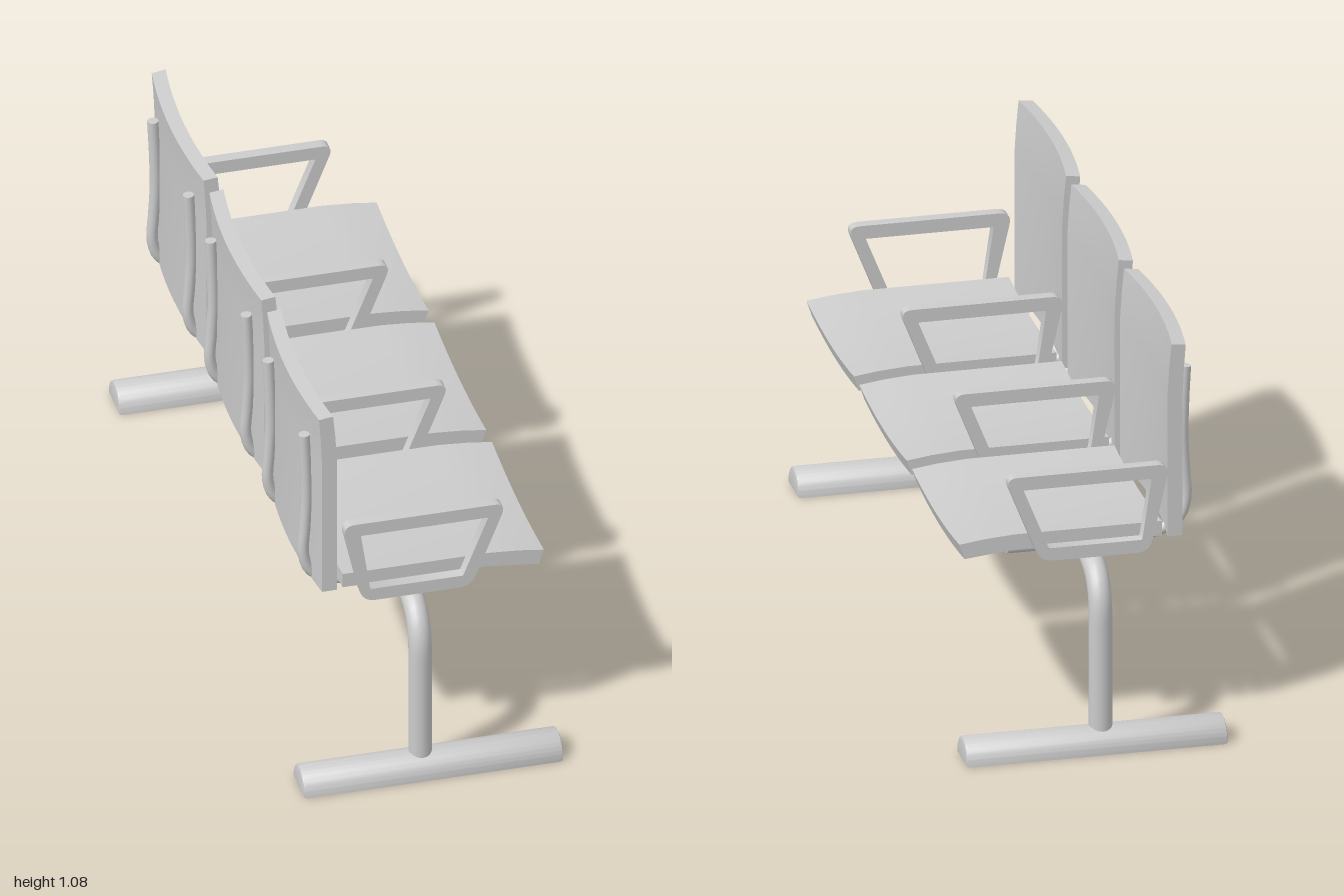
import * as THREE from 'three';
import { toCreasedNormals } from 'three/addons/utils/BufferGeometryUtils.js';

const material = new THREE.MeshStandardMaterial({ color: 0xcccccc });
const WIDTH = 0.53, PITCH = 0.589;

function add(parent, name, geometry) {
  const mesh = new THREE.Mesh(geometry, material);
  mesh.name = name;
  parent.add(mesh);
  return mesh;
}

const outline = (pts) => pts.map(([x, y]) => new THREE.Vector2(x, y));

// Side profile swept across z, then bowed in the middle by (dx, dy)
function bowedSlab(pts, dx, dy) {
  const geo = new THREE.ExtrudeGeometry(new THREE.Shape(outline(pts)), {
    depth: WIDTH, steps: 12, bevelEnabled: false,
  });
  geo.translate(0, 0, -WIDTH / 2);
  const p = geo.attributes.position;
  for (let i = 0; i < p.count; i++) {
    const t = (2 * p.getZ(i)) / WIDTH, bow = 1 - t * t;
    p.setX(i, p.getX(i) + dx * bow);
    p.setY(i, p.getY(i) + dy * bow);
  }
  return toCreasedNormals(geo, 0.5);
}

// Closed outline with rounded corners
function roundedPath(target, pts, r) {
  const v = outline(pts), n = v.length;
  v.forEach((c, i) => {
    const a = v[(i + n - 1) % n].clone().sub(c).setLength(r).add(c);
    const b = v[(i + 1) % n].clone().sub(c).setLength(r).add(c);
    if (i === 0) target.moveTo(a.x, a.y);
    else target.lineTo(a.x, a.y);
    target.quadraticCurveTo(c.x, c.y, b.x, b.y);
  });
  target.closePath();
  return target;
}

// Capped round bar along a curve
function bar(parent, name, curve, segments, radius) {
  const g = new THREE.Group();
  g.name = name;
  parent.add(g);
  add(g, name + 'Tube', new THREE.TubeGeometry(curve, segments, radius, 14, false));
  for (const [u, s] of [[0, -1], [1, 1]]) {
    const cap = add(g, name + 'Cap', new THREE.CircleGeometry(radius, 14));
    cap.position.copy(curve.getPointAt(u));
    cap.quaternion.setFromUnitVectors(
      new THREE.Vector3(0, 0, 1), curve.getTangentAt(u).multiplyScalar(s));
  }
}

export function createModel() {
  const model = new THREE.Group();
  model.name = 'benchSeating';

  const seatGeo = bowedSlab([
    [-0.208, 0.545], [0.18, 0.545], [0.322, 0.529], [0.336, 0.571],
    [0.27, 0.58], [0.19, 0.586], [-0.208, 0.586],
  ], 0, -0.016);
  const backGeo = bowedSlab([
    [-0.264, 0.54], [-0.223, 0.54], [-0.223, 0.94], [-0.228, 1.02],
    [-0.234, 1.083], [-0.272, 1.078], [-0.267, 1.01], [-0.264, 0.94],
  ], -0.02, 0);

  // Bent rod under the seat and up the back
  const rod = new THREE.CatmullRomCurve3([
    [0.19, 0.515], [0, 0.515], [-0.16, 0.517], [-0.23, 0.53], [-0.275, 0.56],
    [-0.292, 0.61], [-0.288, 0.7], [-0.284, 0.78], [-0.286, 0.88], [-0.291, 0.985],
  ].map(([x, y]) => new THREE.Vector3(x, y, 0)));

  for (const i of [-1, 0, 1]) {
    const chair = new THREE.Group();
    chair.name = 'chair';
    chair.position.z = i * PITCH;
    model.add(chair);
    add(chair, 'seat', seatGeo);
    add(chair, 'backrest', backGeo);
    for (const s of [-1, 1]) {
      const support = new THREE.Group();
      support.name = 'support';
      support.position.z = s * 0.182;
      chair.add(support);
      bar(support, 'supportRod', rod, 48, 0.015);
    }
  }

  // Armrest loops between and beside the chairs
  const arm = roundedPath(new THREE.Shape(),
    [[-0.165, 0.52], [0.128, 0.52], [0.224, 0.763], [-0.22, 0.763]], 0.035);
  arm.holes.push(roundedPath(new THREE.Path(),
    [[-0.145, 0.556], [-0.17, 0.726], [0.174, 0.726], [0.106, 0.556]], 0.004));
  const armGeo = toCreasedNormals(new THREE.ExtrudeGeometry(arm, {
    depth: 0.032, bevelEnabled: false, curveSegments: 6,
  }).translate(0, 0, -0.016), 0.6);
  for (const z of [-0.881, -0.295, 0.295, 0.881]) add(model, 'armrest', armGeo).position.z = z;

  // One continuous tube forms both legs and the beam
  const v = (y, z) => new THREE.Vector3(-0.022, y, z);
  const frame = new THREE.CurvePath();
  const Y = 0.495, Z = 0.942, R = 0.13;
  frame.add(new THREE.LineCurve3(v(0.03, -Z), v(Y - R, -Z)));
  frame.add(new THREE.QuadraticBezierCurve3(v(Y - R, -Z), v(Y, -Z), v(Y, -Z + R)));
  frame.add(new THREE.LineCurve3(v(Y, -Z + R), v(Y, Z - R)));
  frame.add(new THREE.QuadraticBezierCurve3(v(Y, Z - R), v(Y, Z), v(Y - R, Z)));
  frame.add(new THREE.LineCurve3(v(Y - R, Z), v(0.03, Z)));
  const frameGeo = new THREE.TubeGeometry(frame, 120, 0.031, 20, false);
  // Flatten the beam slightly between the bends
  const p = frameGeo.attributes.position;
  for (let i = 0; i < p.count; i++) {
    const k = 1 - THREE.MathUtils.smoothstep(Math.abs(p.getZ(i)), 0.76, 0.87);
    p.setY(i, THREE.MathUtils.lerp(p.getY(i), 0.503 + (p.getY(i) - Y) * 0.73, k));
  }
  frameGeo.computeVertexNormals();
  add(model, 'legFrame', frameGeo);

  // Half-round floor feet
  const half = new THREE.Shape();
  half.moveTo(0.05, 0);
  half.absarc(0, 0, 0.05, 0, Math.PI, false);
  half.closePath();
  const footGeo = toCreasedNormals(new THREE.ExtrudeGeometry(half, {
    depth: 0.688, curveSegments: 16, bevelThickness: 0.007, bevelSize: 0.007, bevelSegments: 2,
  }).translate(0, 0.007, -0.344).rotateY(Math.PI / 2), 0.7);
  for (const s of [-1, 1]) add(model, 'foot', footGeo).position.z = s * 0.943;

  return model;
}
